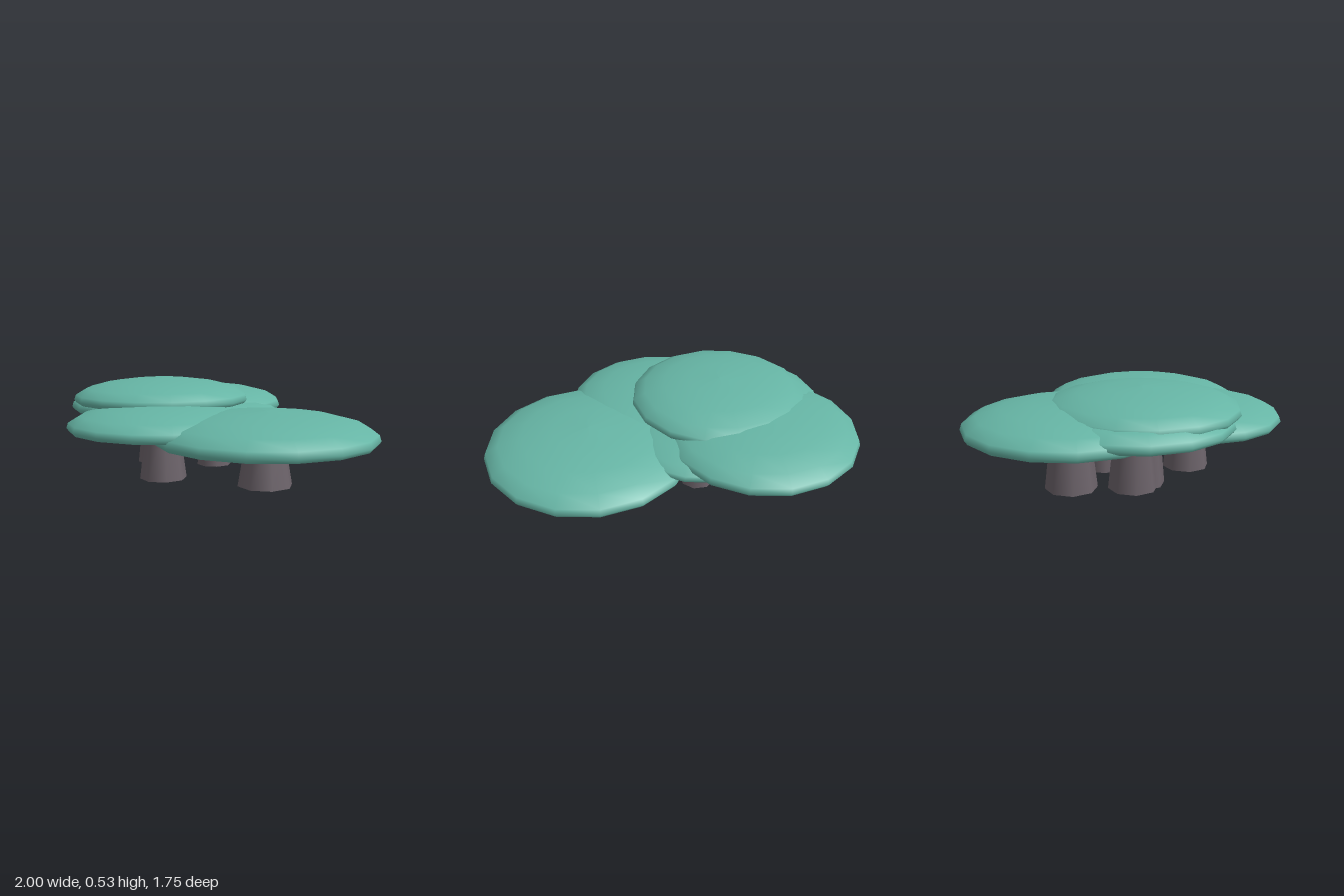
import * as THREE from 'three';

const SIDES = 16;

// Cap outline as [radius, height] fractions, from the inset rim up to the crown
const CAP_PROFILE = [
  [0.972, -0.22], [1, -0.06], [0.982, 0.19], [0.861, 0.51],
  [0.637, 0.77], [0.339, 0.94], [0, 1],
];

// One tree-like clump: a flat dome on a tapered stem
function makeClump({ x, z, r, bottom }, capMat, stemMat) {
  const clump = new THREE.Group();
  clump.name = 'clump';
  clump.position.set(x, 0, z);
  const h = r * 0.225;

  const dome = new THREE.Mesh(
    new THREE.LatheGeometry(
      CAP_PROFILE.map(([a, b]) => new THREE.Vector2(a * r, b * h)), SIDES),
    capMat);
  dome.name = 'capDome';
  dome.position.y = bottom + 0.22 * h;

  // Flat underside, separate so the rim stays sharp
  const under = new THREE.Mesh(
    new THREE.CircleGeometry(r * CAP_PROFILE[0][0], SIDES).rotateX(Math.PI / 2),
    capMat);
  under.name = 'capUnderside';
  under.position.y = bottom;

  const stemHeight = bottom + 0.01;
  const stem = new THREE.Mesh(
    new THREE.CylinderGeometry(r * 0.18, r * 0.25, stemHeight, 8), stemMat);
  stem.name = 'stem';
  stem.position.y = stemHeight / 2;

  clump.add(dome, under, stem);
  return clump;
}

export function createModel() {
  const capMat = new THREE.MeshStandardMaterial({ color: 0x66b5a5 });
  capMat.name = 'sea green cap';
  const stemMat = new THREE.MeshStandardMaterial({ color: 0x6c636a });
  stemMat.name = 'grey mauve stem';

  const clumps = [
    { name: 'largeLeftClump', x: 0.4, z: 0.185, r: 0.597, bottom: 0.235 },
    { name: 'frontClump', x: -0.16, z: 0.35, r: 0.52, bottom: 0.275 },
    { name: 'tallClump', x: -0.41, z: 0.05, r: 0.52, bottom: 0.385 },
    { name: 'rightClump', x: -0.475, z: 0, r: 0.525, bottom: 0.335 },
    { name: 'backClump', x: -0.44, z: -0.32, r: 0.555, bottom: 0.315 },
    { name: 'smallMiddleClump', x: -0.145, z: -0.12, r: 0.41, bottom: 0.285 },
  ];

  const model = new THREE.Group();
  model.name = 'capCluster';
  for (const spec of clumps) {
    const clump = makeClump(spec, capMat, stemMat);
    clump.name = spec.name;
    model.add(clump);
  }
  return model;
}
